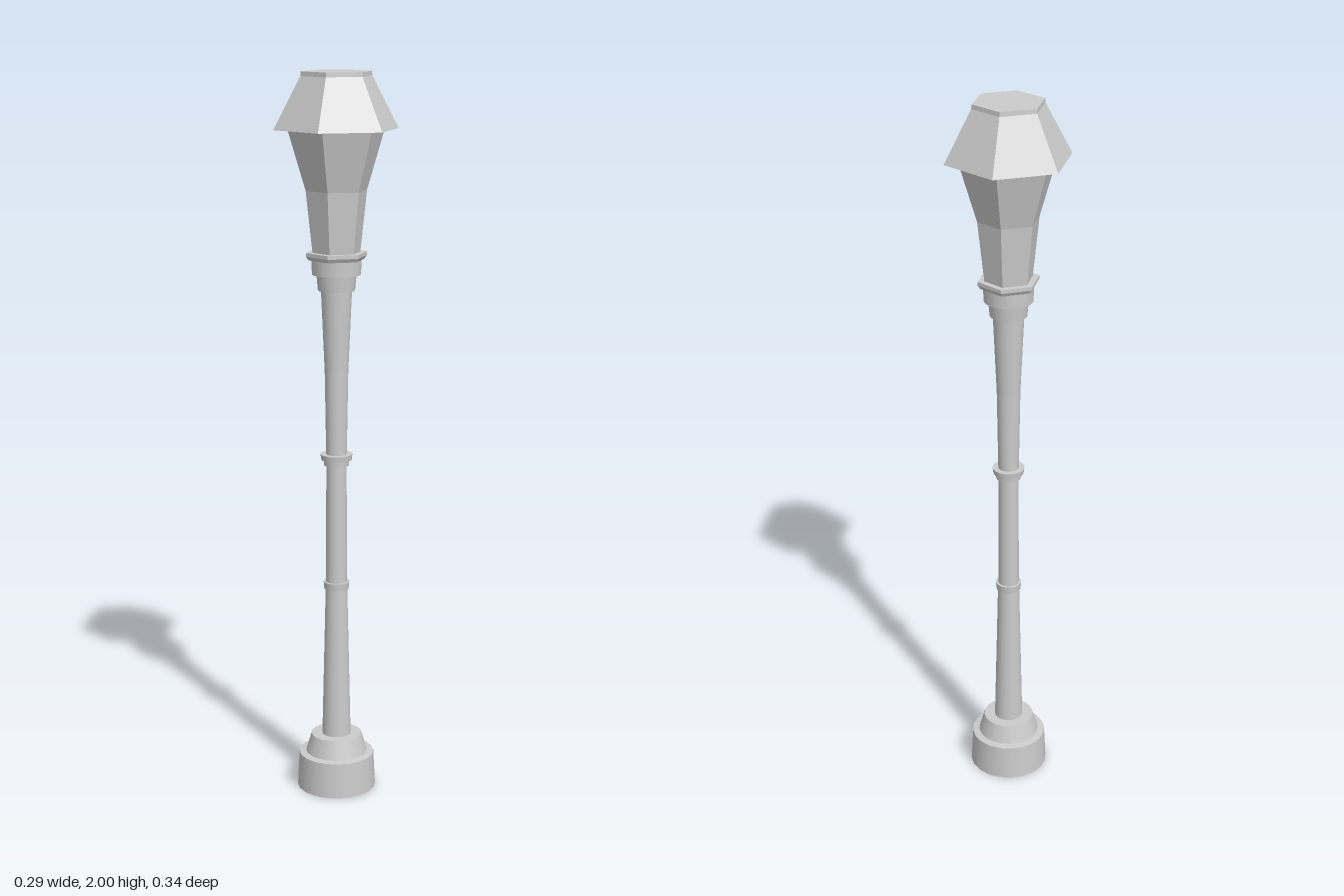
import * as THREE from 'three';
import { mergeGeometries } from 'three/addons/utils/BufferGeometryUtils.js';

const smooth = new THREE.MeshStandardMaterial({ color: 0xcccccc, side: THREE.DoubleSide });
const faceted = new THREE.MeshStandardMaterial({ color: 0xcccccc, side: THREE.DoubleSide, flatShading: true });

// Turned part with a sharp edge at every [radius, y] profile point, listed bottom to top
function turned(name, profile, sides, material) {
  const bands = [];
  for (let i = 1; i < profile.length; i++) {
    const pair = [profile[i - 1], profile[i]].map(([r, y]) => new THREE.Vector2(r, y));
    bands.push(new THREE.LatheGeometry(pair, sides));
  }
  const mesh = new THREE.Mesh(mergeGeometries(bands), material);
  mesh.name = name;
  return mesh;
}

const round = (name, profile) => turned(name, profile, 20, smooth);
const hex = (name, profile) => turned(name, profile, 6, faceted);

export function createModel() {
  const group = new THREE.Group();
  group.name = 'streetLamp';

  group.add(
    // Hollow stepped foot, open underneath
    round('base', [[0.11, 0], [0.105, 0.1], [0.086, 0.103], [0.071, 0.155], [0.038, 0.155]]),

    // Post narrows to the middle, then flares to the collar
    round('lowerPost', [[0.04, 0.155], [0.03, 0.59]]),
    round('middlePost', [[0.029, 0.59], [0.028, 0.95]]),
    round('upperPost', [[0.028, 0.95], [0.032, 1.2], [0.042, 1.425]]),

    // Decorative rings
    round('lowerRing', [[0.028, 0.584], [0.034, 0.584], [0.036, 0.605], [0.028, 0.605]]),
    round('upperRing', [[0.028, 0.938], [0.034, 0.938], [0.035, 0.954], [0.042, 0.954],
      [0.044, 0.97], [0.027, 0.97]]),

    // Stepped collar under the lantern
    round('collar', [[0.04, 1.422], [0.05, 1.422], [0.054, 1.465], [0.066, 1.465],
      [0.067, 1.507], [0.04, 1.507]]),
    hex('lanternSeat', [[0, 1.505], [0.077, 1.505], [0.084, 1.515], [0.084, 1.525], [0, 1.525]]),

    // Six-sided lantern
    hex('lanternGlass', [[0.066, 1.525], [0.084, 1.69], [0.132, 1.85]]),
    hex('lanternRoof', [[0, 1.85], [0.17, 1.85], [0.097, 1.988], [0.096, 2], [0, 2]])
  );
  return group;
}
